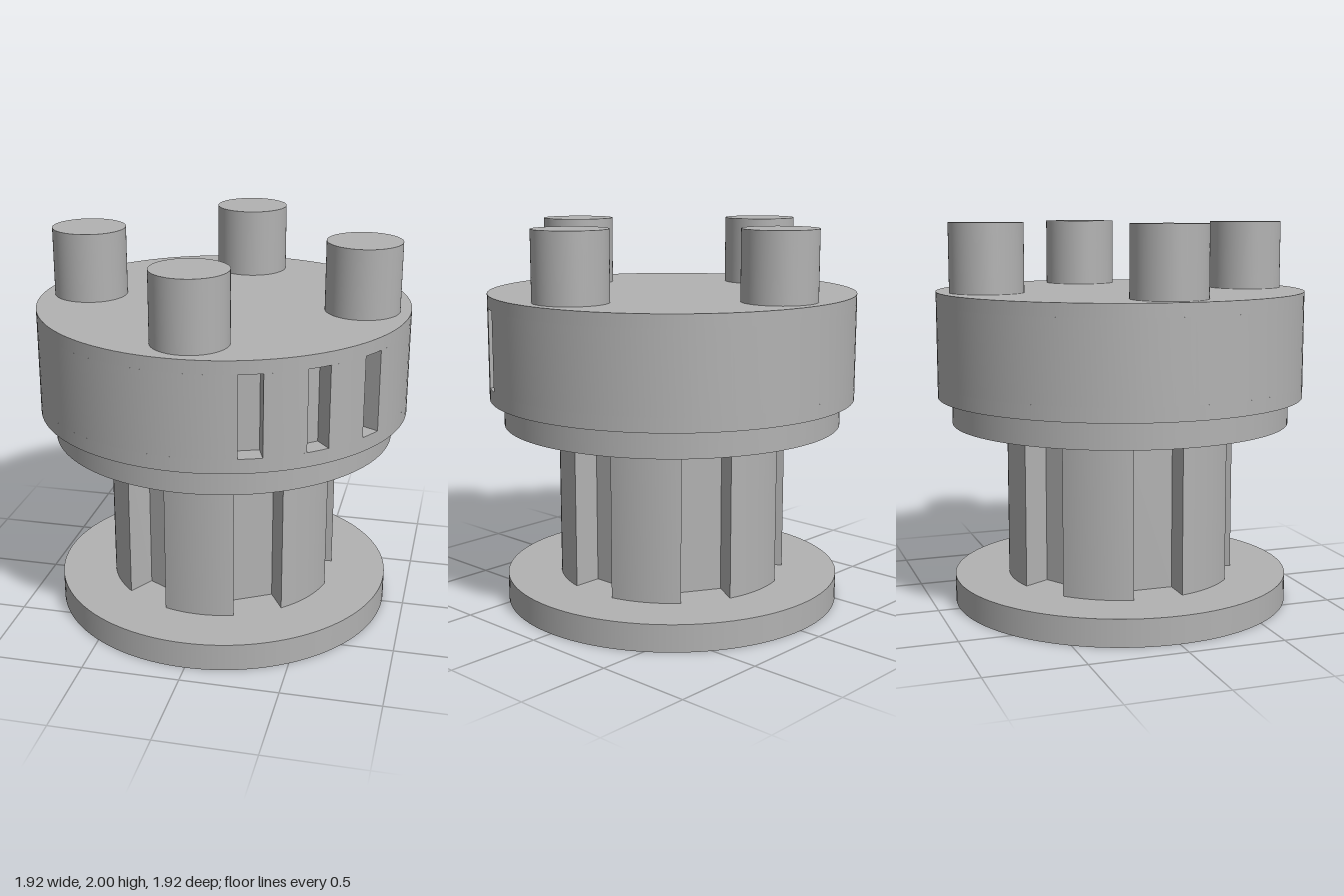
import * as THREE from 'three';
import { toCreasedNormals } from 'three/addons/utils/BufferGeometryUtils.js';

const rad = THREE.MathUtils.degToRad;

// Upright disc with flat-floored, parallel-sided notches cut into its rim.
// Angles are in degrees, measured from +z toward +x, in rising order.
function notchedDisc(radius, height, angles, halfWidth, floor) {
  const half = Math.asin(halfWidth / radius);
  const rim = radius * Math.cos(half);
  const points = [];
  angles.forEach((deg, i) => {
    const a = rad(deg);
    const corner = (along, across) => points.push(new THREE.Vector2(
      along * Math.sin(a) + across * Math.cos(a),
      across * Math.sin(a) - along * Math.cos(a)));
    corner(rim, -halfWidth);
    corner(floor, -halfWidth);
    corner(floor, halfWidth);
    corner(rim, halfWidth);
    // Round rim as far as the next notch
    const next = i + 1 < angles.length ? rad(angles[i + 1]) : rad(angles[0]) + Math.PI * 2;
    const start = a + half, end = next - half;
    const steps = Math.ceil((end - start) / rad(3));
    for (let s = 1; s < steps; s++) {
      const t = start + (end - start) * s / steps;
      points.push(new THREE.Vector2(radius * Math.sin(t), -radius * Math.cos(t)));
    }
  });
  const geometry = new THREE.ExtrudeGeometry(new THREE.Shape(points), { depth: height, bevelEnabled: false });
  geometry.rotateX(-Math.PI / 2);
  return toCreasedNormals(geometry, 0.4);
}

export function createModel() {
  const model = new THREE.Group();
  const grey = new THREE.MeshStandardMaterial({ color: 0xb2b2b2 });
  grey.name = 'plain grey';

  const add = (name, geometry, x, y, z) => {
    const mesh = new THREE.Mesh(geometry, grey);
    mesh.name = name;
    mesh.position.set(x, y, z);
    model.add(mesh);
  };
  const disc = (name, radius, y0, y1, x = 0, z = 0) =>
    add(name, new THREE.CylinderGeometry(radius, radius, y1 - y0, 120), x, (y0 + y1) / 2, z);

  // Base plate and the collar under the drum
  disc('basePlate', 0.887, 0, 0.142);
  disc('collar', 0.887, 0.957, 1.097);

  // Column with six lengthwise grooves
  const grooves = [30, 90, 150, 210, 270, 330];
  add('groovedColumn', notchedDisc(0.6, 0.815, grooves, 0.13, 0.435), 0, 0.142, 0);

  // Drum, with three narrow pockets in its middle band
  disc('drumBottom', 0.96, 1.097, 1.17);
  add('drumBand', notchedDisc(0.96, 0.41, [20, 40, 60], 0.059, 0.858), 0, 1.17, 0);
  disc('drumTop', 0.96, 1.58, 1.647);

  // Four posts on top
  for (let i = 0; i < 4; i++) {
    const a = i * Math.PI / 2;
    disc('post', 0.19, 1.647, 2, 0.715 * Math.sin(a), 0.715 * Math.cos(a));
  }
  return model;
}
